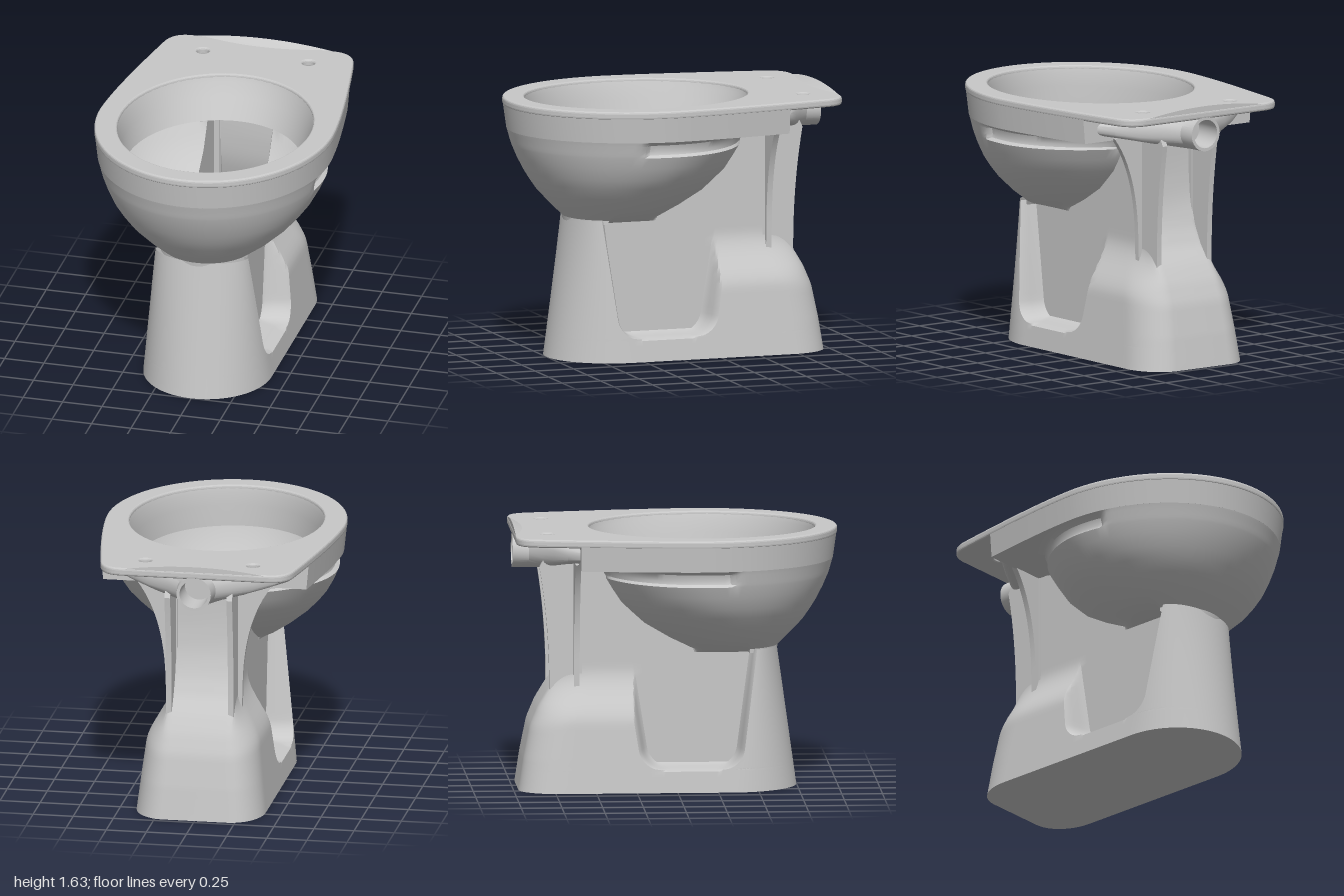
import * as THREE from 'three';
import { toCreasedNormals } from 'three/addons/utils/BufferGeometryUtils.js';

const { lerp, smoothstep, clamp } = THREE.MathUtils;
const WEB = 0.207; // half width of the web and of the pedestal between its recesses

// Piecewise linear lookup through [key, value] pairs
function curve(pairs, k) {
  for (let i = 1; i < pairs.length; i++) {
    const [k0, v0] = pairs[i - 1], [k1, v1] = pairs[i];
    if (k <= k1) return lerp(v0, v1, Math.max(0, (k - k0) / (k1 - k0)));
  }
  return pairs[pairs.length - 1][1];
}

// Skin rings of points, with optional fan caps; open rings leave a gap at the seam
function loft(rings, { capFirst = false, capLast = false, open = false } = {}) {
  const n = rings[0].length, pos = rings.flat(2), index = [];
  for (let i = 0; i < rings.length - 1; i++) {
    for (let j = 0; j < (open ? n - 1 : n); j++) {
      const k = (j + 1) % n, a = i * n + j, b = i * n + k;
      index.push(a, b, b + n, a, b + n, a + n);
    }
  }
  const cap = (r, flip) => {
    const c = pos.length / 3, s = r * n;
    pos.push(...[0, 1, 2].map(q => rings[r].reduce((t, p) => t + p[q], 0) / n));
    for (let j = 0; j < n; j++) {
      const k = (j + 1) % n;
      flip ? index.push(c, s + k, s + j) : index.push(c, s + j, s + k);
    }
  };
  if (capFirst) cap(0, true);
  if (capLast) cap(rings.length - 1, false);
  const g = new THREE.BufferGeometry();
  g.setAttribute('position', new THREE.Float32BufferAttribute(pos, 3));
  g.setIndex(index);
  return toCreasedNormals(g, 0.6);
}

// Horizontal oval from its front, back, half width and depth of the widest point
function oval(y, zf, zb, hx, n = 96) {
  return Array.from({ length: n }, (_, j) => {
    const t = j / n * Math.PI * 2;
    return [hx * Math.sin(t), y, (zf + zb) / 2 + (zf - zb) / 2 * Math.cos(t)];
  });
}

// Bowl cross-section, left open at the back where the web joins, with a finger groove
function bowlRing([y, zf, zb, hx, groove = 0]) {
  const n = 128, end = Math.PI - Math.asin(WEB / hx);
  const zc = lerp(0.33, 0.146, smoothstep(y, 0.8, 1.41));
  return Array.from({ length: n + 1 }, (_, j) => {
    const t = lerp(-end, end, j / n), c = Math.cos(t), x = hx * Math.sin(t);
    const z = zc + (c > 0 ? zf - zc : zc - zb) * c;
    const g = groove * smoothstep(z, -0.46, -0.4) * (1 - smoothstep(z, 0.3, 0.36));
    const limit = y < 0.85 && z < 0.45 ? WEB : hx - g;
    return [clamp(x - Math.sign(x) * Math.min(g, Math.abs(x)), -limit, limit), y, z];
  });
}

// Seat outline, drawn with shape y = -z
function rimOutline() {
  const s = new THREE.Shape();
  s.absellipse(0, -0.15, 0.74, 0.85, Math.PI, Math.PI * 2, false);
  s.quadraticCurveTo(0.735, 0.15, 0.605, 0.86);
  s.quadraticCurveTo(0.58, 1, 0.45, 1);
  s.lineTo(-0.45, 1);
  s.quadraticCurveTo(-0.58, 1, -0.605, 0.86);
  s.quadraticCurveTo(-0.735, 0.15, -0.74, -0.15);
  return s;
}

function ellipseHole(x, z, rx, rz) {
  return new THREE.Path().absellipse(x, -z, rx, rz, 0, Math.PI * 2, true);
}

function extrudeUp(shape, options, y) {
  const g = new THREE.ExtrudeGeometry(shape, { curveSegments: 32, ...options });
  return g.rotateX(-Math.PI / 2).translate(0, y, 0);
}

// Pedestal outline at a height; the columns follow the edges of the U-shaped side recess
function pedestalRing(y) {
  const zf = 0.75 - 0.14 * y;
  const zb = curve([[0, -0.97], [0.2, -0.94], [0.4, -0.9], [0.52, -0.85], [0.62, -0.79],
    [0.72, -0.715], [0.82, -0.665], [0.88, -0.645]], y);
  const b = Math.min(0.12, Math.max(0, y - 0.14));
  const corner = 0.12 - Math.sqrt(0.0144 - (0.12 - b) ** 2);
  const zr = 0.385 + 0.13 * (y - 0.2) - corner, zl = -0.2 - 0.16 * (y - 0.2) + corner;
  const depth = smoothstep(y, 0.13, 0.165);
  const shoulder = smoothstep(y, 0.42, 0.76);
  const round = t => Math.sqrt(Math.max(0, 1 - (1 - Math.min(1, t)) ** 2));
  const stops = [[zf, 0, 26], [zr + 0.02, 0, 4], [zr - 0.02, 1, 14], [zl + 0.03, 1, 5], [zl - 0.03, 0, 26], [zb, 0, 0]];
  const side = [];
  for (let i = 0; i < stops.length - 1; i++) {
    const [z0, r0, n] = stops[i], [z1, r1] = stops[i + 1];
    for (let j = i ? 1 : 0; j <= n; j++) {
      // Columns bunch up towards the rounded front and back
      const u = j / n, s = i === 0 ? u * u : i === 4 ? 1 - (1 - u) ** 2 : u;
      const z = lerp(z0, z1, s), recess = depth * smoothstep(lerp(r0, r1, u), 0, 1);
      const full = (0.4 - 0.115 * y) * round((zf - z) / lerp(0.42, 0.17, y / 0.87))
        * (0.5 + 0.5 * round((z - zb) / 0.25));
      const narrow = Math.max(recess, i > 2 ? shoulder : 0);
      side.push([Math.min(full, lerp(full, WEB, narrow)), y, z]);
    }
  }
  return [...side, ...side.slice(1).reverse().map(([x, yy, z]) => [-x, yy, z])];
}

export function createModel() {
  const group = new THREE.Group();
  // Double sided, as the hollow inside shows through the opening
  const ceramic = new THREE.MeshStandardMaterial({ color: 0xc8c8c8, side: THREE.DoubleSide });
  ceramic.name = 'glazed ceramic';
  const add = (name, geometry) => {
    const m = new THREE.Mesh(geometry, ceramic);
    m.name = name;
    group.add(m);
    return m;
  };

  // Top plate with the bowl opening and two bolt holes
  const plate = rimOutline();
  plate.holes.push(ellipseHole(0, 0.17, 0.595, 0.695));
  for (const s of [-1, 1]) plate.holes.push(ellipseHole(s * 0.335, -0.8, 0.038, 0.038));
  add('topPlate', toCreasedNormals(extrudeUp(plate, {
    depth: 0.02, bevelThickness: 0.015, bevelSize: 0.012, bevelOffset: -0.012, bevelSegments: 3,
  }, 1.57), 0.2));

  // Thicker rim under the plate, stopping short of the back and tapering down
  const slab = new THREE.Shape(rimOutline().getPoints(32).filter(p => p.y < 0.64));
  slab.holes.push(ellipseHole(0, 0.17, 0.65, 0.72));
  const rim = extrudeUp(slab, { depth: 0.178, bevelEnabled: false }, 1.41);
  const p = rim.attributes.position;
  for (let i = 0; i < p.count; i++) {
    const k = 1 - 0.025 * (1.588 - p.getY(i)) / 0.178;
    p.setX(i, p.getX(i) * k);
    if (p.getZ(i) > 0) p.setZ(i, p.getZ(i) * k);
  }
  add('rim', toCreasedNormals(rim, 0.6));

  // Raised lip along the back edge
  const lip = [];
  for (let i = 0; i <= 24; i++) {
    const u = i / 12 - 1, x = 0.44 * u, f = 1 - u * u;
    const y = 1.6, z = -0.998;
    lip.push([[x, y, z], [x, y + 0.035 * f, z], [x, y + 0.03 * f, z + 0.012 * f],
      [x, y + 0.012 * f, z + 0.04 * f], [x, y, z + 0.075 * f]]);
  }
  add('backLip', loft(lip));

  // Bowl shell, opening into the hollow pedestal below
  add('bowl', loft([[0.845, 0.632, 0.03, 0.3], [0.87, 0.635, 0.02, 0.3],
    [0.94, 0.705, -0.1, 0.4], [1.03, 0.79, -0.24, 0.505], [1.1, 0.838, -0.31, 0.57],
    [1.16, 0.875, -0.37, 0.617], [1.24, 0.915, -0.42, 0.662], [1.31, 0.945, -0.46, 0.692],
    [1.325, 0.95, -0.465, 0.697, 0.03], [1.345, 0.956, -0.475, 0.703, 0.042],
    [1.385, 0.967, -0.49, 0.714, 0.042], [1.4, 0.972, -0.495, 0.718, 0.025],
    [1.411, 0.975, -0.57, 0.7215]].map(bowlRing), { open: true }));

  // Inner wall hanging down from the opening
  add('openingWall', loft([[1.59, 0.866, -0.526, 0.596], [1.56, 0.86, -0.515, 0.585],
    [1.48, 0.855, -0.47, 0.565], [1.35, 0.85, -0.4, 0.54]].map(r => oval(...r))));

  // Hollow pedestal with a recess in each side
  const levels = [0, 0.05, 0.1, 0.13, 0.14, 0.145, 0.15, 0.157, 0.165, 0.18, 0.2, 0.22, 0.24, 0.26];
  for (let y = 0.3; y < 0.88; y += 0.03) levels.push(y);
  add('pedestal', loft(levels.map(pedestalRing), { capFirst: true }));

  // Narrow web rising behind the bowl
  add('web', loft([[0.86, 0.12, -0.65], [0.94, -0.03, -0.625], [1.03, -0.18, -0.61], [1.1, -0.26, -0.605],
    [1.16, -0.33, -0.6], [1.3, -0.415, -0.6], [1.42, -0.47, -0.6]].map(([y, zf, zb]) =>
    [[WEB, y, zf], [WEB, y, zb], [-WEB, y, zb], [-WEB, y, zf]]), { open: true }));

  // Water inlet flaring into the rim, hollow at the back
  const inlet = [[-0.6, 0.55, 0.076], [-0.68, 0.46, 0.084], [-0.76, 0.33, 0.096], [-0.83, 0.2, 0.104],
    [-0.9, 0.12, 0.106], [-0.998, 0.107, 0.107], [-0.998, 0.088, 0.088], [-0.82, 0.085, 0.085]];
  add('waterInlet', loft(inlet.map(([z, rx, ry]) => Array.from({ length: 40 }, (_, j) => {
    const t = j / 40 * Math.PI * 2, s = Math.sin(t), e = lerp(1, 0.65, smoothstep(rx, 0.1, 0.3));
    const cy = rx > 0.11 ? 1.565 - ry : 1.46;
    return [-rx * Math.cos(t), cy + ry * Math.sign(s) * Math.abs(s) ** e, z];
  })), { capLast: true }));

  // Rear fins, and the flanges beside them that flare out under the rim
  const fin = new THREE.Shape();
  fin.moveTo(0.58, 0.6);
  fin.lineTo(0.78, 0.6);
  fin.quadraticCurveTo(0.775, 1.0, 0.84, 1.38);
  fin.lineTo(0.82, 1.42);
  fin.lineTo(0.58, 1.42);
  const finGeometry = toCreasedNormals(new THREE.ExtrudeGeometry(fin,
    { depth: 0.035, bevelEnabled: false }).rotateY(Math.PI / 2), 0.6);
  for (const s of [-1, 1]) {
    add('rearFin', finGeometry).position.x = s * 0.193 - 0.0175;
    const flange = new THREE.Shape();
    flange.moveTo(s * 0.17, 0.6);
    flange.lineTo(s * 0.235, 0.6);
    flange.lineTo(s * 0.24, 0.8);
    flange.quadraticCurveTo(s * 0.25, 1.2, s * 0.42, 1.42);
    flange.lineTo(s * 0.17, 1.42);
    add('rearFlange', toCreasedNormals(new THREE.ExtrudeGeometry(flange,
      { depth: 0.035, bevelEnabled: false }), 0.6)).position.z = -0.63;
  }
  return group;
}
